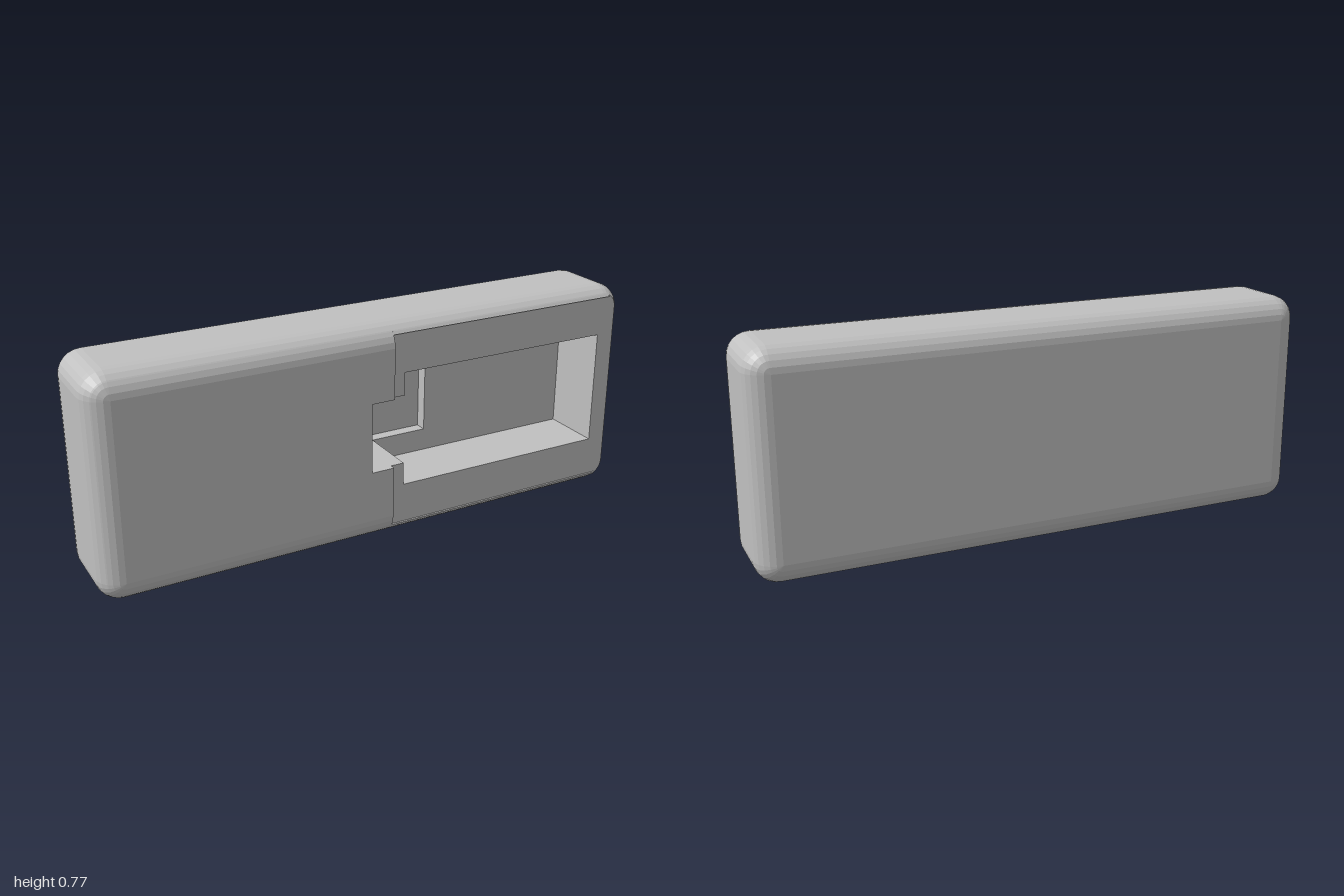
import * as THREE from 'three';

const W = 1, H = 0.387, D = 0.173, R = 0.08;  // half sizes and edge radius
const STEP_X = 0.04, STEP_Z = 0.153;           // recessed half of the front
const SLOT = { x0: 0.09, x1: 0.905, y0: 0.18, y1: 0.595, z: -0.067 };
const WELL = { x0: -0.045, x1: 0.305, y0: 0.262, y1: 0.513, z: -0.11 };
const SEG = 6;
const CUT = Math.asin((STEP_Z - D + R) / R);   // edge angle where the recess begins

// Rounded outline at edge angle t (-90..90 degrees, back to front)
function ring(t, maxX = Infinity) {
  const r = R * Math.cos(t), z = Math.sign(t) * (D - R) + R * Math.sin(t);
  const pts = [];
  [[1, 1], [-1, 1], [-1, -1], [1, -1]].forEach(([sx, sy], c) => {
    for (let i = 0; i <= SEG; i++) {
      const a = (c + i / SEG) * Math.PI / 2;
      pts.push([Math.min(sx * (W - R) + r * Math.cos(a), maxX), H + sy * (H - R) + r * Math.sin(a), z]);
    }
  });
  return pts;
}

function fromTriangles(pos) {
  const g = new THREE.BufferGeometry();
  g.setAttribute('position', new THREE.Float32BufferAttribute(pos, 3));
  g.computeVertexNormals();
  return g;
}

// Join successive rings, leaving out quads lying on the step plane
function skin(rings, maxX = Infinity) {
  const pos = [];
  for (let k = 0; k + 1 < rings.length; k++) {
    const A = rings[k], B = rings[k + 1], n = A.length;
    for (let i = 0; i < n; i++) {
      const j = (i + 1) % n, q = [A[i], A[j], B[j], B[i]];
      if (q.every(p => p[0] >= maxX)) continue;
      pos.push(...q[0], ...q[1], ...q[2], ...q[0], ...q[2], ...q[3]);
    }
  }
  return fromTriangles(pos);
}

// Upright walls along an open path in x, y
function walls(path, z0, z1) {
  const pos = [];
  for (let i = 0; i + 1 < path.length; i++) {
    const [a, b] = [path[i], path[i + 1]];
    pos.push(...a, z0, ...b, z0, ...b, z1, ...a, z0, ...b, z1, ...a, z1);
  }
  return fromTriangles(pos);
}

const shape = pts => new THREE.Shape(pts.map(p => new THREE.Vector2(p[0], p[1])));
const plate = (pts, z) => new THREE.ShapeGeometry(shape(pts)).translate(0, 0, z);

export function createModel() {
  const group = new THREE.Group();
  const grey = new THREE.MeshStandardMaterial({ color: 0xc0c0c0, flatShading: true, side: THREE.DoubleSide });
  grey.name = 'grey';
  const add = (name, geometry) => {
    const m = new THREE.Mesh(geometry, grey);
    m.name = name;
    group.add(m);
  };

  // Rounded body up to the recess level
  const step = Math.PI / 2 / SEG;
  const back = [], low = [], high = [CUT];
  for (let i = 0; i <= SEG; i++) {
    back.push(-(SEG - i) * step || -1e-6);
    const t = i * step || 1e-6;
    (t < CUT ? low : high).push(t);
  }
  low.push(CUT);
  add('body', skin([...back, ...low].map(t => ring(t))));
  add('backPanel', plate(ring(-Math.PI / 2).filter((p, i) => i % (SEG + 1) === 0), -D).scale(1, 1, 1));

  // Raised half of the front
  add('raisedEdge', skin(high.map(t => ring(t, STEP_X)), STEP_X));
  const { x0, x1, y0, y1 } = WELL;
  const inX = W - R;
  add('raisedFront', plate([[-inX, R], [STEP_X, R], [STEP_X, y0], [x0, y0], [x0, y1],
    [STEP_X, y1], [STEP_X, 2 * H - R], [-inX, 2 * H - R]], D));

  // Step between the two front levels, on both sides of the notch
  const edge = high.map(t => [-(D - R + R * Math.sin(t)), R - R * Math.cos(t)]);
  for (const [flip, notchY] of [[false, y0], [true, y1]]) {
    const pts = edge.map(([z, y]) => [z, flip ? 2 * H - y : y]);
    pts.push([-D, notchY], [-STEP_Z, notchY]);
    add('stepWall', new THREE.ShapeGeometry(shape(pts)).rotateY(Math.PI / 2).translate(STEP_X, 0, 0));
    // Thin lip along the long edge of the recess
    const lip = [[-STEP_Z, 0.027], [-STEP_Z, 0.037], [-0.16, 0.037]].map(([z, y]) => [z, flip ? 2 * H - y : y]);
    add('recessLip', new THREE.ExtrudeGeometry(shape(lip), { depth: 0.9, bevelEnabled: false })
      .rotateY(Math.PI / 2).translate(STEP_X, 0, 0));
  }

  // Recess floor, cut out around the slot and the notch
  const S = SLOT;
  const rim = ring(CUT).filter(p => p[0] > 0);
  const half = SEG + 1;
  add('recessFloor', plate([[STEP_X, rim[half][1]], ...rim.slice(half), ...rim.slice(0, half),
    [STEP_X, rim[half - 1][1]], [STEP_X, y1], [S.x0, y1], [S.x0, S.y1], [S.x1, S.y1],
    [S.x1, S.y0], [S.x0, S.y0], [S.x0, y0], [STEP_X, y0]].filter((p, i, a) =>
    i === 0 || Math.hypot(p[0] - a[i - 1][0], p[1] - a[i - 1][1]) > 1e-6), STEP_Z));

  // Long slot
  add('slotWalls', walls([[S.x0, y1], [S.x0, S.y1], [S.x1, S.y1], [S.x1, S.y0], [S.x0, S.y0], [S.x0, y0]], S.z, STEP_Z));
  add('slotFloor', plate([[S.x0, S.y0], [S.x1, S.y0], [S.x1, S.y1], [S.x0, S.y1],
    [S.x0, y1], [x1, y1], [x1, y0], [S.x0, y0]], S.z));

  // Deeper well crossing the step
  add('wellInnerWalls', walls([[S.x0, y0], [x1, y0], [x1, y1], [S.x0, y1]], WELL.z, S.z));
  add('wellOuterWalls', walls([[STEP_X, y1], [x0, y1], [x0, y0], [STEP_X, y0]], WELL.z, D));
  add('wellNeckTop', walls([[S.x0, y1], [STEP_X, y1]], WELL.z, STEP_Z));
  add('wellNeckBottom', walls([[STEP_X, y0], [S.x0, y0]], WELL.z, STEP_Z));
  add('wellFloor', plate([[x0, y0], [x1, y0], [x1, y1], [x0, y1]], WELL.z));
  return group;
}
